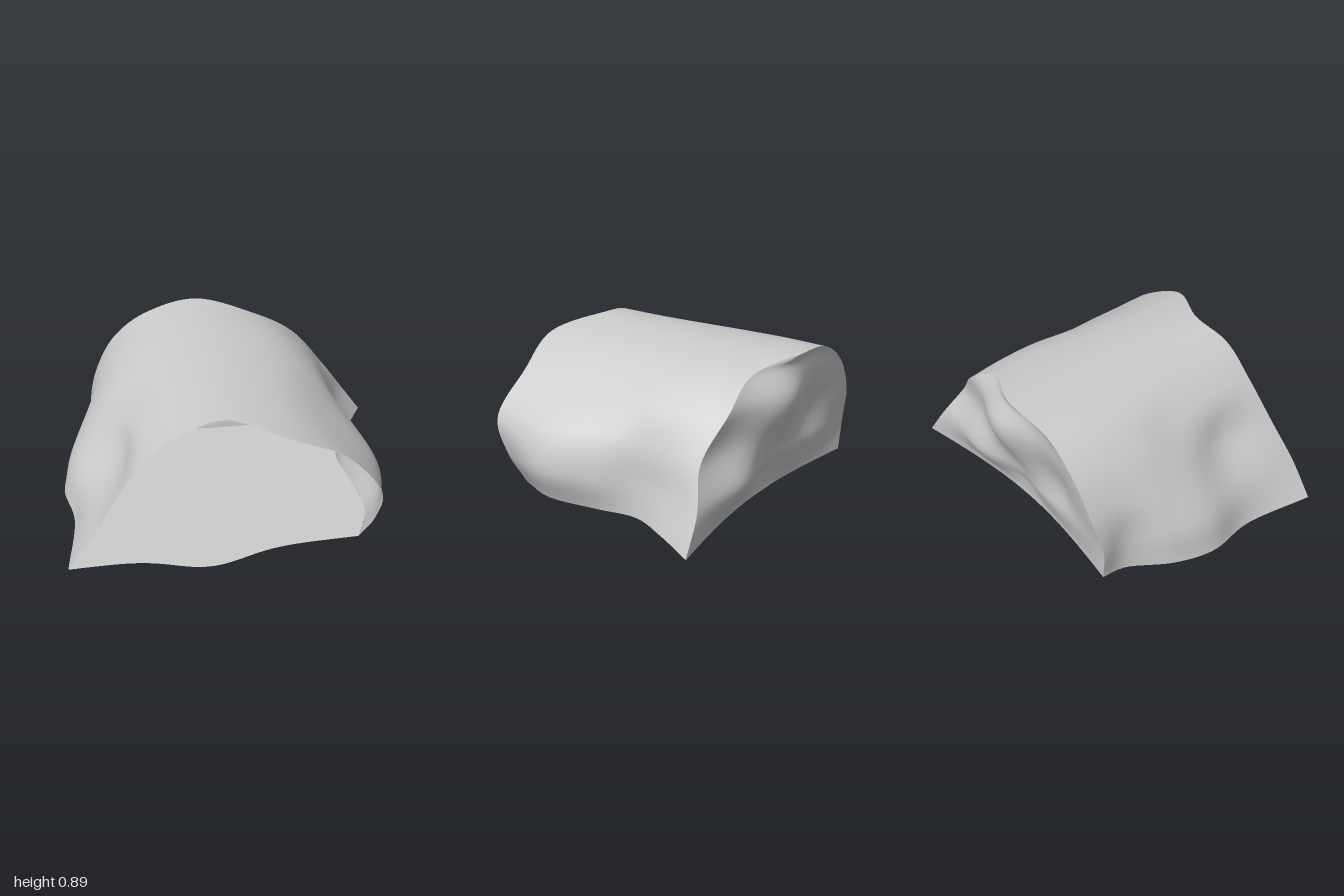
import * as THREE from 'three';

const V = (x, y, z) => new THREE.Vector3(x, y, z);

// Heights of the cross-section points, from the -x foot over the ridge to the +x foot
const heights = [0.01, 0.22, 0.45, 0.68, 0.84, 0.9, 0.84, 0.68, 0.45, 0.22, 0.01];

// Arched cross-sections from front to back: x of each point, and z (one value, or one per point)
const sections = [
  { x: [-0.95, -0.8, -0.65, -0.48, -0.26, 0, 0.36, 0.67, 0.88, 0.87, 0.79],
    z: [0.8, 0.78, 0.72, 0.67, 0.66, 0.62, 0.76, 0.71, 0.74, 0.69, 0.61] },
  { x: [-0.92, -0.83, -0.63, -0.52, -0.29, 0, 0.35, 0.62, 0.88, 0.95, 0.87], z: 0.35 },
  { x: [-0.99, -0.93, -0.76, -0.56, -0.34, 0, 0.35, 0.6, 0.81, 0.87, 0.82], z: 0.03 },
  { x: [-0.94, -0.91, -0.8, -0.62, -0.38, -0.02, 0.35, 0.6, 0.73, 0.755, 0.77], z: -0.23 },
  { x: [-0.81, -0.81, -0.78, -0.64, -0.41, -0.05, 0.32, 0.57, 0.72, 0.78, 0.86], z: -0.48 },
  { x: [-0.8, -0.82, -0.77, -0.64, -0.42, -0.1, 0.26, 0.52, 0.72, 0.86, 1.0],
    z: [-0.64, -0.65, -0.7, -0.73, -0.75, -0.79, -0.68, -0.7, -0.66, -0.74, -0.77] },
];
const curves = sections.map(({ x, z }) => new THREE.CatmullRomCurve3(
  x.map((px, i) => V(px, heights[i], Array.isArray(z) ? z[i] : z)), false, 'catmullrom', 0.5));

// Point on the arched skin: u runs across, v from front to back
function skin(u, v) {
  const across = curves.map(c => c.getPoint(u));
  const p = new THREE.CatmullRomCurve3(across, false, 'catmullrom', 0.5).getPoint(v);
  p.y = THREE.MathUtils.clamp(p.y, 0.01, 0.9);
  return p;
}

const hump = (x, y, cx, cy, r) => Math.exp(-((x - cx) ** 2 + (y - cy) ** 2) / (r * r));

// Hollow along the foot of the rear wall, shared with the floor
const footInset = s => 0.1 * Math.sin(Math.PI * s);

// Lumpy rear wall: rows join equal heights of the rear cross-section
function rear(s, w) {
  const p = skin(w / 2, 1).lerp(skin(1 - w / 2, 1), s);
  const fade = Math.sin(Math.PI * s) * Math.min(1, p.y / 0.15) * Math.min(1, (1 - w) * 8);
  p.z += footInset(s) * (1 - THREE.MathUtils.smoothstep(p.y, 0, 0.25));
  p.z += fade * (-0.12 * hump(p.x, p.y, 0.08, 0.62, 0.28)
    - 0.06 * hump(p.x, p.y, 0.45, 0.3, 0.2)
    + 0.06 * hump(p.x, p.y, 0.05, 0.22, 0.2)
    + 0.06 * hump(p.x, p.y, -0.42, 0.4, 0.2));
  return p;
}

// Flat floor between the two feet, with a lip swelling out at the mouth
function floor(s, v) {
  const p = skin(0, v).lerp(skin(1, v), s);
  p.z += 0.12 * hump(p.x, 0, -0.12, 0, 0.32) * Math.max(0, 1 - v * 3) * Math.sin(Math.PI * s);
  p.z += footInset(s) * THREE.MathUtils.smoothstep(v, 0.3, 1);
  p.y = 0.01;
  return p;
}

// Smooth sheet sampled from a point function
function sheet(name, nu, nv, fn, flip) {
  const pos = [], index = [];
  for (let j = 0; j <= nv; j++) {
    for (let i = 0; i <= nu; i++) {
      pos.push(...fn(i / nu, j / nv).toArray());
      if (i < nu && j < nv) {
        const a = j * (nu + 1) + i, b = a + 1, c = a + nu + 1, d = c + 1;
        if (flip) index.push(a, c, b, b, c, d);
        else index.push(a, b, c, b, d, c);
      }
    }
  }
  const geo = new THREE.BufferGeometry();
  geo.setAttribute('position', new THREE.Float32BufferAttribute(pos, 3));
  geo.setIndex(index);
  geo.computeVertexNormals();
  const mesh = new THREE.Mesh(geo, new THREE.MeshStandardMaterial({ color: 0xcccccc, side: THREE.DoubleSide }));
  mesh.name = name;
  return mesh;
}

export function createModel() {
  const group = new THREE.Group();
  group.name = 'rockShelter';
  group.add(
    sheet('archedRoof', 80, 60, skin, false),
    sheet('rearWall', 60, 50, rear, true),
    sheet('floor', 40, 40, floor, true),
  );
  return group;
}
